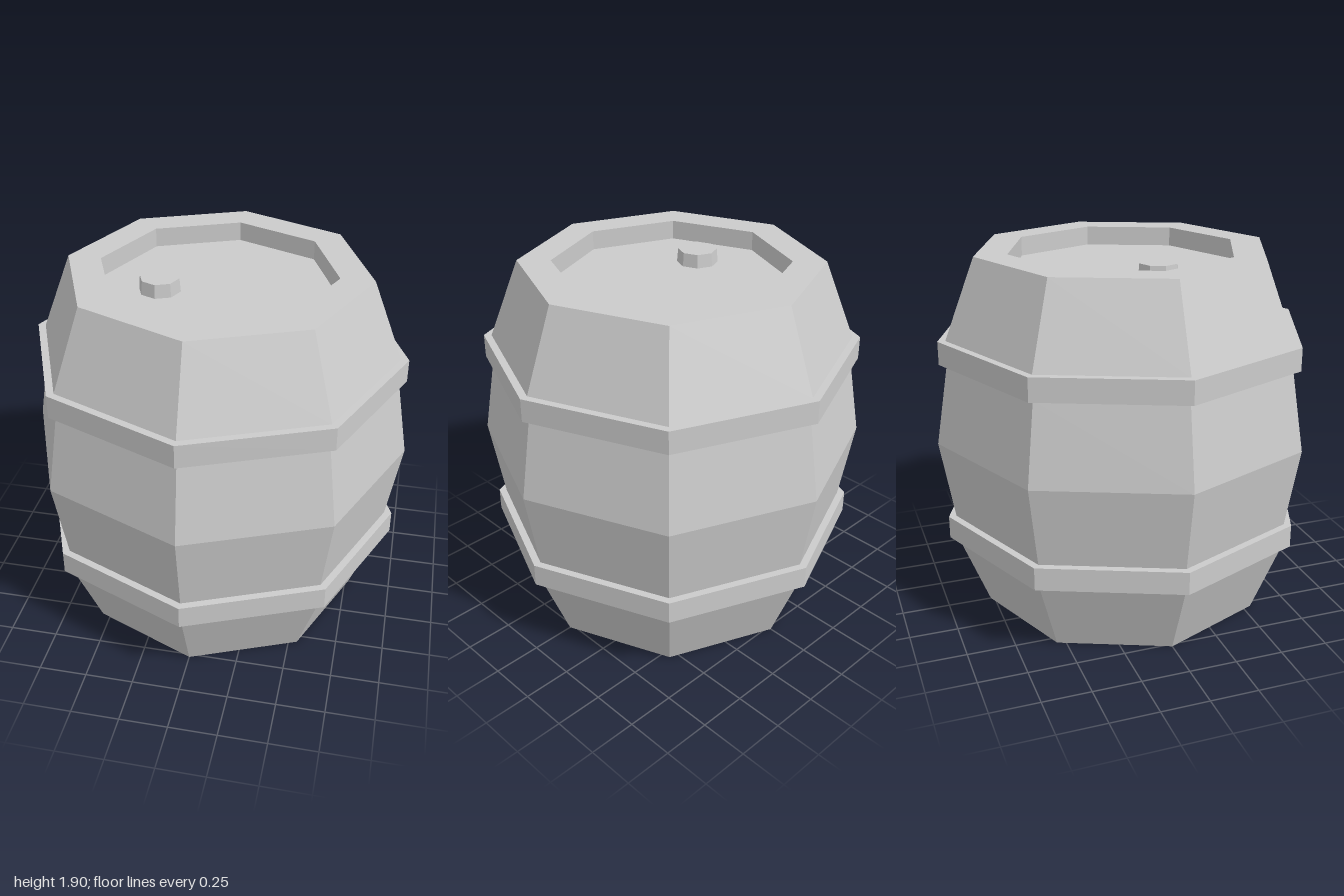
import * as THREE from 'three';

const SIDES = 8;
const material = new THREE.MeshStandardMaterial({ color: 0xcccccc, flatShading: true });

// Faceted mesh from a geometry
function part(name, geometry) {
  const flat = geometry.toNonIndexed();
  flat.computeVertexNormals();
  const mesh = new THREE.Mesh(flat, material);
  mesh.name = name;
  return mesh;
}

// Eight-sided turned shape from [radius, height] pairs, listed bottom to top
function turned(name, profile) {
  const points = profile.map(([r, y]) => new THREE.Vector2(r, y));
  return part(name, new THREE.LatheGeometry(points, SIDES));
}

export function createModel() {
  const group = new THREE.Group();
  group.name = 'barrel';

  // Staves with a recessed lid and base
  group.add(turned('barrelBody', [
    [0, 0.1], [0.6, 0.1], [0.6, 0], [0.77, 0],
    [0.93, 0.41], [0.93, 0.53], [1, 0.95], [0.93, 1.37], [0.93, 1.49],
    [0.77, 1.9], [0.6, 1.9], [0.6, 1.8], [0, 1.8],
  ]));

  // Raised hoops
  for (const [name, y] of [['lowerHoop', 0.41], ['upperHoop', 1.37]]) {
    group.add(turned(name, [[0.93, y], [0.97, y], [0.97, y + 0.12], [0.93, y + 0.12]]));
  }

  // Stopper in the lid
  const bung = part('bung', new THREE.CylinderGeometry(0.1, 0.106, 0.07, SIDES));
  bung.position.set(-0.275, 1.835, 0.09);
  group.add(bung);

  return group;
}
